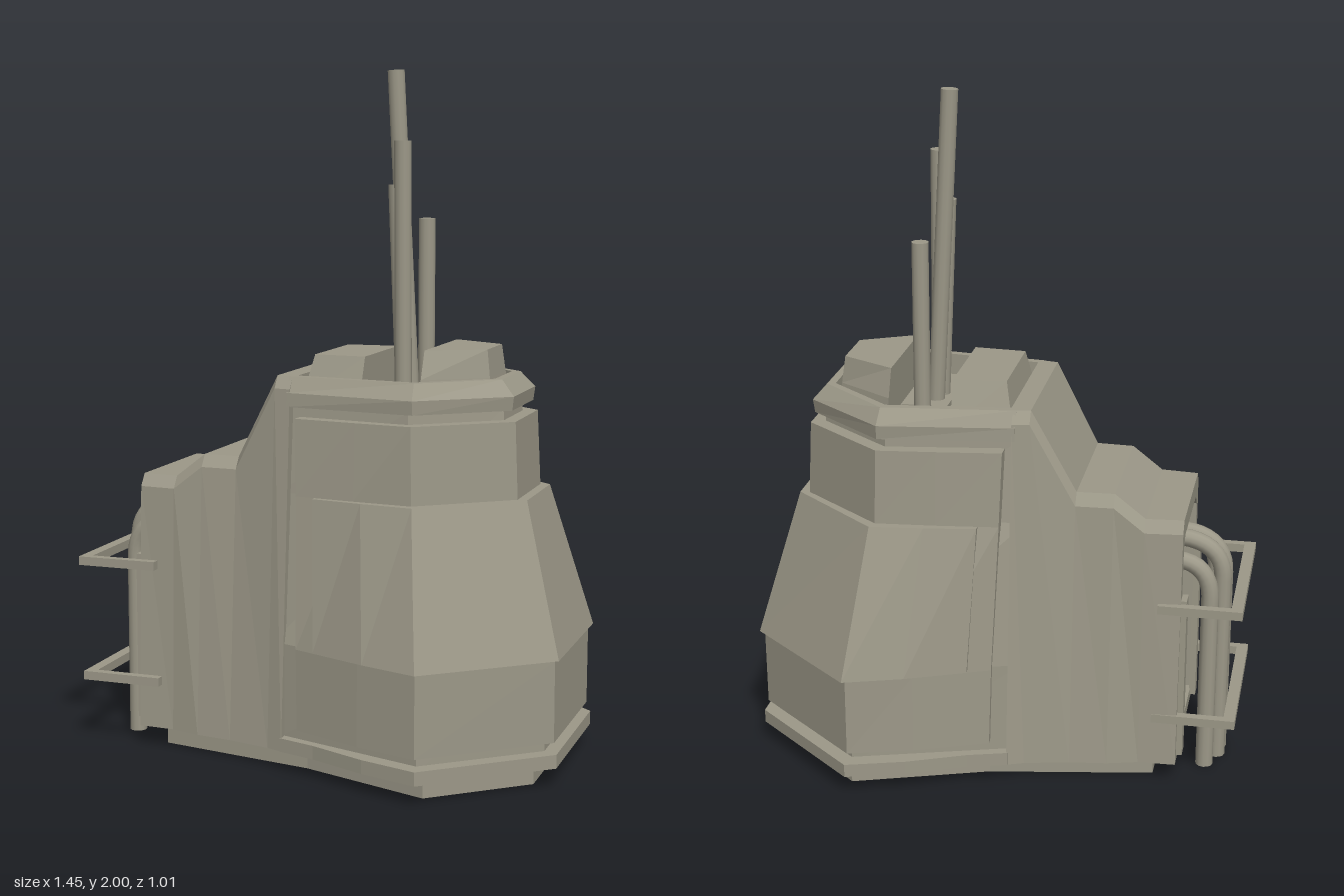
import * as THREE from 'three';

const hullPaint = new THREE.MeshStandardMaterial({ color: 0x9c9888 });
hullPaint.name = 'warm grey paint';

// Flat-shaded skin through equal-length rings of [x, y, z], closed at both ends
function loft(rings) {
  const pos = [];
  const tri = (a, b, c) => pos.push(...a, ...b, ...c);
  const n = rings[0].length;
  const centre = (r) => [0, 1, 2].map((k) => r.reduce((s, p) => s + p[k], 0) / n);
  for (let i = 0; i < rings.length - 1; i++) {
    for (let j = 0; j < n; j++) {
      const k = (j + 1) % n;
      tri(rings[i][j], rings[i][k], rings[i + 1][k]);
      tri(rings[i][j], rings[i + 1][k], rings[i + 1][j]);
    }
  }
  const first = rings[0], last = rings[rings.length - 1];
  const c0 = centre(first), c1 = centre(last);
  for (let j = 0; j < n; j++) {
    const k = (j + 1) % n;
    tri(c0, first[k], first[j]);
    tri(c1, last[j], last[k]);
  }
  const g = new THREE.BufferGeometry();
  g.setAttribute('position', new THREE.Float32BufferAttribute(pos, 3));
  g.computeVertexNormals();
  return g;
}

// Layers stacked in y; each is [y, [x, z]...] for the left half, rear to front
const stack = (layers) => loft(layers.map(([y, ...half]) => [
  ...half.map(([x, z]) => [x, y, z]),
  ...half.slice().reverse().map(([x, z]) => [x, y, -z]),
]));

// Cross-section of the rear hull at x with a chamfered roof
function section(x, bottom, top, zBottom, zEdge, zTop) {
  const half = [[top, zTop], [top - 0.035, zEdge], [bottom, zBottom]];
  return [
    ...half.map(([y, z]) => [x, y, z]),
    ...half.slice().reverse().map(([y, z]) => [x, y, -z]),
  ];
}

export function createModel() {
  const model = new THREE.Group();
  model.name = 'conningTower';
  const add = (name, geometry, x = 0, y = 0, z = 0, parent = model) => {
    const mesh = new THREE.Mesh(geometry, hullPaint);
    mesh.name = name;
    mesh.position.set(x, y, z);
    parent.add(mesh);
    return mesh;
  };
  const box = (name, w, h, d, x, y, z, parent) =>
    add(name, new THREE.BoxGeometry(w, h, d), x, y, z, parent);

  // Stepped rear hull with an open bay at the back
  add('rearHull', loft([
    section(-0.46, 0.1, 0.76, 0.19, 0.18, 0.15),
    section(-0.55, 0.1, 0.76, 0.19, 0.18, 0.15),
    section(-0.55, 0.06, 0.82, 0.245, 0.215, 0.19),
    section(-0.44, 0.06, 0.82, 0.25, 0.225, 0.2),
    section(-0.35, 0.06, 0.89, 0.275, 0.225, 0.2),
    section(-0.24, 0.06, 0.89, 0.29, 0.23, 0.205),
    section(-0.11, 0.06, 1.135, 0.32, 0.25, 0.225),
    section(-0.06, 0.06, 1.135, 0.34, 0.26, 0.235),
  ]));
  for (const s of [1, -1]) box('bayFrame', 0.02, 0.5, 0.05, -0.557, 0.33, s * 0.195);

  // Foot and lower flange
  const foot = [[-0.48, 0.2], [-0.2, 0.25], [0, 0.285], [0.39, 0.42], [0.65, 0.2]];
  add('foot', stack([[0, ...foot], [0.065, ...foot]]));
  const flange = [[-0.065, 0.34], [0.05, 0.375], [0.22, 0.448], [0.39, 0.5], [0.72, 0.222]];
  add('lowerFlange', stack([[0.06, ...flange], [0.1, ...flange]]));

  // Inner core, visible only in the grooves between armour layers
  add('innerCore', stack([
    [0.08, [-0.1, 0.3], [0.38, 0.45], [0.68, 0.2]],
    [0.37, [-0.1, 0.295], [0.375, 0.45], [0.68, 0.2]],
    [0.8, [-0.1, 0.25], [0.31, 0.3], [0.545, 0.12]],
    [1.055, [-0.1, 0.225], [0.3, 0.285], [0.525, 0.105]],
  ]));

  // Main armour and the flared skirt over it
  add('mainArmour', stack([
    [0.13, [-0.01, 0.345], [0.2, 0.43], [0.385, 0.485], [0.71, 0.212]],
    [0.365, [-0.015, 0.337], [0.2, 0.425], [0.385, 0.485], [0.71, 0.215]],
    [0.8, [-0.03, 0.295], [0.15, 0.317], [0.325, 0.333], [0.577, 0.135]],
    [1.02, [-0.037, 0.28], [0.15, 0.305], [0.32, 0.325], [0.567, 0.13]],
  ]));
  add('armourSkirt', stack([
    [0.37, [0.05, 0.375], [0.22, 0.448], [0.39, 0.505], [0.723, 0.225]],
    [0.8, [0.03, 0.32], [0.18, 0.343], [0.335, 0.362], [0.605, 0.138]],
  ]));

  // Chamfered cap with a sunken deck
  add('topCap', stack([
    [1.05, [-0.07, 0.262], [0.32, 0.312], [0.555, 0.122]],
    [1.09, [-0.07, 0.26], [0.32, 0.315], [0.56, 0.125]],
    [1.135, [-0.07, 0.235], [0.315, 0.28], [0.52, 0.105]],
    [1.135, [-0.052, 0.212], [0.306, 0.256], [0.497, 0.096]],
    [1.07, [-0.052, 0.212], [0.306, 0.256], [0.497, 0.096]],
  ]));
  add('rearHatch', stack([
    [1.06, [-0.051, 0.19], [0.13, 0.207]],
    [1.19, [-0.025, 0.145], [0.13, 0.155]],
  ]));
  add('frontHatch', stack([
    [1.06, [0.31, 0.21], [0.49, 0.092]],
    [1.135, [0.31, 0.2], [0.48, 0.088]],
    [1.215, [0.31, 0.165], [0.47, 0.08]],
  ]));
  box('mastPlate', 0.135, 0.02, 0.2, 0.23, 1.075, 0);

  // Masts: [base x, top x, z, top y]
  const masts = [
    [0.21, 0.16, -0.03, 2], [0.23, 0.225, 0.108, 1.8],
    [0.205, 0.18, 0.022, 1.675], [0.235, 0.235, -0.1, 1.575],
  ];
  for (const [x0, x1, z, top] of masts) {
    const h = Math.hypot(top - 1.06, x1 - x0);
    const mast = add('mast', new THREE.CylinderGeometry(0.025, 0.025, h, 12),
      (x0 + x1) / 2, (top + 1.06) / 2, z);
    mast.rotation.z = Math.atan2(x0 - x1, top - 1.06);
  }

  // Exhaust pipes bending out of the rear bay, with closed lower ends
  for (const [z, x, y] of [[-0.11, -0.625, 0.66], [-0.043, -0.655, 0.705], [0.01, -0.655, 0.705], [0.1, -0.625, 0.66]]) {
    const pipe = new THREE.Group();
    pipe.name = 'exhaustPipe';
    model.add(pipe);
    const path = new THREE.CurvePath();
    const v = (a, b) => new THREE.Vector3(a, b, z);
    path.add(new THREE.LineCurve3(v(x, 0), v(x, y - 0.12)));
    path.add(new THREE.QuadraticBezierCurve3(v(x, y - 0.12), v(x, y - 0.02), v(-0.55, y)));
    path.add(new THREE.LineCurve3(v(-0.55, y), v(-0.45, y + 0.01)));
    add('pipeTube', new THREE.TubeGeometry(path, 40, 0.026, 12), 0, 0, 0, pipe);
    const end = add('pipeEnd', new THREE.CircleGeometry(0.026, 12), x, 0.001, z, pipe);
    end.rotation.x = Math.PI / 2;
  }

  // Guard rails around the pipes
  for (const [y, x] of [[0.558, -0.725], [0.207, -0.715]]) {
    const rail = new THREE.Group();
    rail.name = 'guardRail';
    rail.position.set(x, y, 0.015);
    model.add(rail);
    box('railBar', 0.034, 0.026, 0.52, 0.012, 0, 0, rail);
    for (const s of [1, -1]) box('railArm', 0.22, 0.026, 0.026, 0.13, 0, s * 0.247, rail);
  }
  return model;
}
